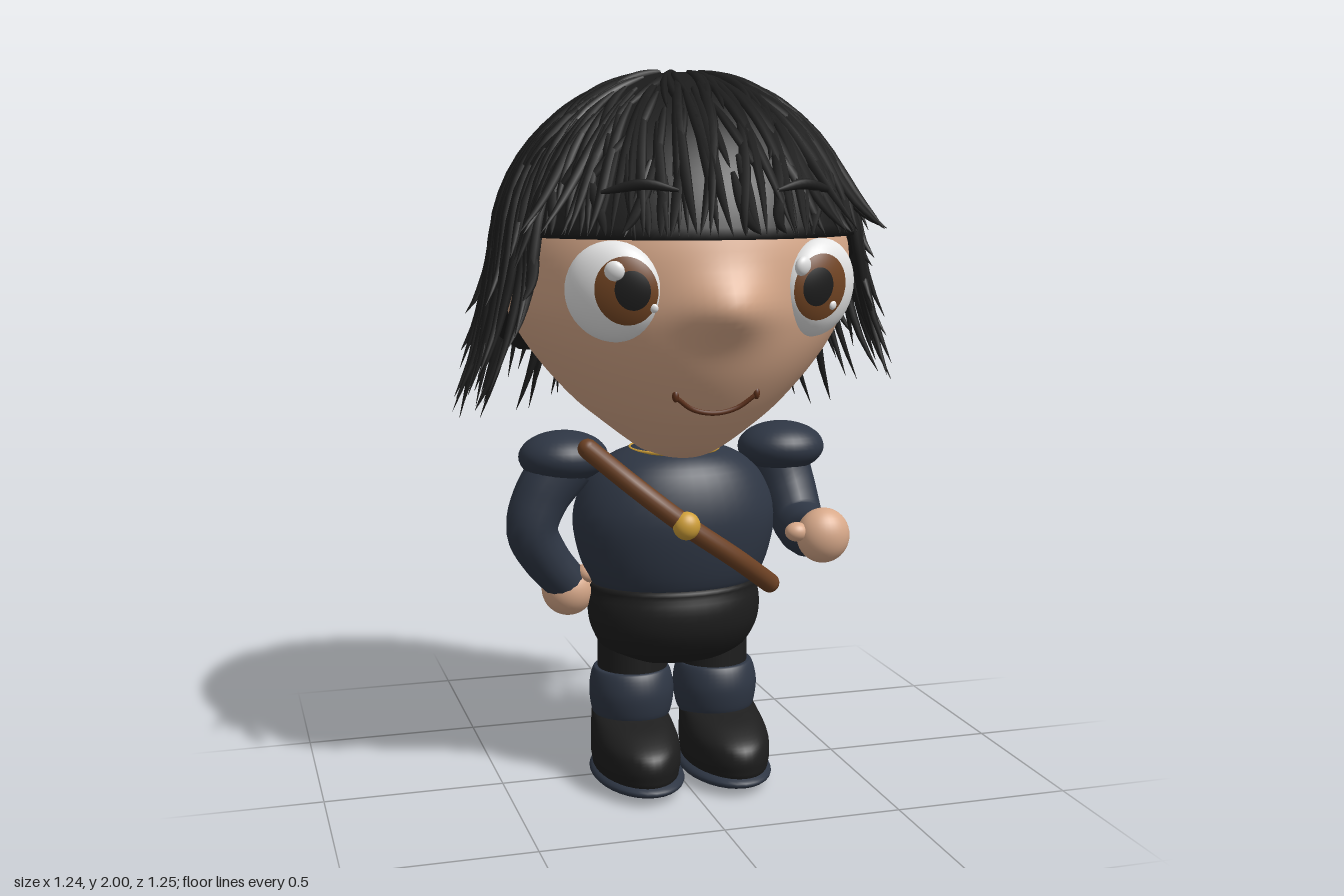
import * as THREE from 'three';
import { mergeGeometries } from 'three/addons/utils/BufferGeometryUtils.js';

const mat = (name, color, extra = {}) => Object.assign(new THREE.MeshStandardMaterial({ color, ...extra }), { name });
const V = (x, y, z) => new THREE.Vector3(x, y, z);

// Closed-around grid surface: rows run bottom to top, columns run from +z towards +x
function grid(rows, cols, point) {
  const pos = [], idx = [];
  for (let i = 0; i <= rows; i++)
    for (let j = 0; j < cols; j++) pos.push(...point(i / rows, (j / cols) * Math.PI * 2).toArray());
  for (let i = 0; i < rows; i++)
    for (let j = 0; j < cols; j++) {
      const a = i * cols + j, b = i * cols + ((j + 1) % cols);
      idx.push(a, b, b + cols, a, b + cols, a + cols);
    }
  const g = new THREE.BufferGeometry();
  g.setAttribute('position', new THREE.Float32BufferAttribute(pos, 3));
  g.setIndex(idx);
  g.computeVertexNormals();
  return g;
}

// Smooth loft through oval sections [y, half width, front z, back z]
function loft(sections, rows = 24, cols = 40, adjust = p => p) {
  const spline = k => new THREE.SplineCurve(sections.map(s => new THREE.Vector2(s[0], s[k])));
  const [w, f, b] = [spline(1), spline(2), spline(3)];
  return grid(rows, cols, (u, a) => {
    const p = w.getPoint(u), zf = f.getPoint(u).y, zb = b.getPoint(u).y;
    return adjust(V(p.y * Math.sin(a), p.x, (zf + zb) / 2 + ((zf - zb) / 2) * Math.cos(a)));
  });
}

// Tube whose radius varies along its length
function tube(points, radius, n = 20, sides = 16) {
  const curve = new THREE.CatmullRomCurve3(points);
  const g = new THREE.TubeGeometry(curve, n, 1, sides);
  const p = g.attributes.position, v = V(0, 0, 0);
  for (let i = 0; i <= n; i++) {
    const c = curve.getPointAt(i / n), r = radius(i / n);
    for (let j = 0; j <= sides; j++) {
      const k = i * (sides + 1) + j;
      v.fromBufferAttribute(p, k).sub(c).multiplyScalar(r).add(c);
      p.setXYZ(k, v.x, v.y, v.z);
    }
  }
  return g;
}

function seeded(seed) {
  return () => (seed = (seed * 16807) % 2147483647) / 2147483647;
}

// Hair surface: s = 0 at the crown, 1 at the dome's widest ring, more below it
const frontBulge = a => 1 + 0.075 * Math.max(0, Math.cos(a));
function hairPoint(s, a, out) {
  const t = Math.min(s, 1), q = t * Math.PI / 2, low = Math.max(s - 1, 0);
  const r = ((0.495 + out) * Math.sin(q) + 0.1 * low) * (1 + (frontBulge(a) - 1) * t);
  return V(r * Math.sin(a) + 0.03 * (1 - t), 1.5 + (0.49 + out) * Math.cos(q) - 0.5 * low, r * Math.cos(a) + 0.01 - 0.035 * (1 - t));
}
const sAt = y => (y > 1.5 ? Math.acos((y - 1.5) / 0.49) / (Math.PI / 2) : 1 + (1.5 - y) / 0.5);

// Lower edge of the solid hair at an angle from the front
function hairEdge(a) {
  const d = Math.abs(THREE.MathUtils.radToDeg(Math.atan2(Math.sin(a), Math.cos(a))));
  const t = [[0, 1.553], [60, 1.553], [76, 1.47], [90, 1.36], [115, 1.27], [135, 1.2], [181, 1.19]];
  const i = t.findIndex(e => e[0] > d);
  return THREE.MathUtils.mapLinear(d, t[i - 1][0], t[i][0], t[i - 1][1], t[i][1]);
}

function strandGeometry() {
  const rand = seeded(4711), parts = [];
  const strand = (a, s0, s1, drift, flare, r) => {
    const pts = [];
    for (let i = 0; i <= 6; i++) {
      const t = i / 6;
      pts.push(hairPoint(s0 + (s1 - s0) * t, a + drift * (t - 1), 0.003 + flare * t ** 5));
    }
    parts.push(tube(pts, t => r * Math.sin(Math.PI * (0.1 + 0.9 * t)) ** 0.75 + 0.0005, 12, 6));
  };
  // Fringe, cut straight, with a few locks flicked outward
  for (let i = 0; i < 60; i++)
    strand(-1.02 + 2.04 * (i + rand()) / 60, 0.15 + 0.6 * rand(), sAt(1.56), (rand() - 0.5) * 0.4, 0.01 + 0.1 * rand() ** 2.5, 0.015);
  // Long locks round the sides and back
  for (let i = 0; i < 140; i++) {
    const a = 0.97 + (2 * Math.PI - 1.94) * (i + rand()) / 140;
    const back = -Math.cos(a);
    const tip = back > 0.3 ? 0.98 + 0.33 * rand() : back > -0.2 ? 1.1 + 0.33 * rand() : 1.15 + 0.38 * rand();
    strand(a, 0.2 + 0.75 * rand(), sAt(tip), (rand() - 0.5) * 0.4, 0.005 + 0.045 * rand(), 0.016);
  }
  // Short ridges over the crown
  for (let i = 0; i < 100; i++) {
    const s = 0.06 + 0.5 * rand();
    strand(2 * Math.PI * (i + rand()) / 100, s, s + 0.2 + 0.2 * rand(), (rand() - 0.5) * 0.6, 0, 0.013);
  }
  return mergeGeometries(parts);
}

export function createModel() {
  const skin = mat('skin', 0xd8a98a), navy = mat('navy cloth', 0x2e3644);
  const black = mat('black', 0x1d1d1d), hair = mat('hair', 0x1c1c1c, { side: THREE.DoubleSide });
  const white = mat('eye white', 0xe6e6e6), iris = mat('iris brown', 0x744624);
  const leather = mat('leather', 0x6b4023), gold = mat('gold', 0xcf9f38), lip = mat('mouth brown', 0x5a2e18);

  const model = new THREE.Group();
  const add = (name, geometry, material, x = 0, y = 0, z = 0, parent = model) => {
    const m = new THREE.Mesh(geometry, material);
    m.name = name;
    m.position.set(x, y, z);
    parent.add(m);
    return m;
  };
  const ball = (name, material, x, y, z, rx, ry, rz, parent) => {
    const m = add(name, new THREE.SphereGeometry(1, 32, 20), material, x, y, z, parent);
    m.scale.set(rx, ry, rz);
    return m;
  };

  // Head with the nose pushed out of the face
  add('head', loft([
    [0.93, 0.002, 0.06, 0.056], [0.94, 0.075, 0.15, -0.08], [0.975, 0.13, 0.245, -0.18], [1.035, 0.208, 0.33, -0.265],
    [1.1, 0.285, 0.395, -0.335], [1.2, 0.375, 0.462, -0.4], [1.3, 0.443, 0.5, -0.44], [1.4, 0.478, 0.515, -0.46],
    [1.55, 0.475, 0.505, -0.46], [1.7, 0.41, 0.43, -0.41], [1.85, 0.26, 0.27, -0.26], [1.92, 0.002, 0.01, 0.006],
  ], 66, 120, p => {
    if (p.z > 0) p.z += 0.06 * Math.exp(-((p.x / 0.11) ** 2) - ((p.y - 1.38) / 0.08) ** 2);
    return p;
  }), skin);

  // Eyes: flattened balls following the face, iris and pupil caps turned inward, two glints
  for (const side of [-1, 1]) {
    const eye = new THREE.Group();
    eye.name = side > 0 ? 'leftEye' : 'rightEye';
    eye.position.set(side * 0.272, 1.422, 0.412);
    eye.rotation.set(0.15, side * 0.5, 0, 'YXZ');
    model.add(eye);
    ball('eyeball', white, 0, 0, 0, 0.128, 0.13, 0.07, eye);
    const cap = (name, material, size, angle, turn) => {
      const g = new THREE.SphereGeometry(size, 32, 10, 0, Math.PI * 2, 0, angle);
      g.rotateX(Math.PI / 2 - 0.13).rotateY(-side * turn).scale(0.128, 0.13, 0.07);
      add(name, g, material, 0, 0, 0, eye);
    };
    cap('iris', iris, 1.04, 0.7, 0.46);
    cap('pupil', black, 1.07, 0.37, 0.53);
    const glint = (name, dx, y, r) => {
      const x = -side * 0.06 + dx;
      ball(name, white, x, y, 0.073 * Math.sqrt(1 - (x * x + y * y) / 0.0175), r, r, r * 0.6, eye);
    };
    glint('largeGlint', -0.04, 0.066, 0.026);
    glint('smallGlint', 0.05, -0.032, 0.012);
  }

  // Smile
  const smile = [[-0.11, 1.148, 0.412], [-0.06, 1.112, 0.402], [0, 1.1, 0.401], [0.06, 1.112, 0.402], [0.11, 1.148, 0.412]];
  add('mouth', tube(smile.map(p => V(...p)), () => 0.0065, 24, 8), lip);
  for (const x of [-0.11, 0.11]) ball('mouthCorner', lip, x, 1.15, 0.412, 0.009, 0.016, 0.009);

  // Hair cap, turned inward at its lower edge, and loose strands
  add('hairCap', grid(25, 96, (u, a) => {
    const edge = sAt(hairEdge(a)), k = Math.max(0, (u - 0.04) / 0.96);
    const p = hairPoint(Math.max(edge * (1 - k), 0.0005), a, 0);
    const f = u < 0.02 ? 0.72 : Math.min(1, 0.51 * frontBulge(a) / Math.hypot(p.x, p.z));
    return V(p.x * f, p.y, p.z * f);
  }), hair);
  add('hairStrands', strandGeometry(), hair);
  for (const s of [-1, 1])
    add('brow', tube([V(s * 0.13, 1.675, 0.507), V(s * 0.21, 1.69, 0.482), V(s * 0.31, 1.67, 0.435)],
      t => 0.014 * Math.sin(Math.PI * (0.1 + 0.8 * t)), 12, 8), hair);

  // Torso, collar and trousers
  add('torso', loft([[0.55, 0.2, 0.17, -0.12], [0.575, 0.24, 0.2, -0.145], [0.66, 0.277, 0.225, -0.172], [0.77, 0.292, 0.235, -0.182],
    [0.87, 0.255, 0.212, -0.165], [0.93, 0.19, 0.17, -0.12], [0.96, 0.1, 0.1, -0.06], [0.963, 0.002, 0.022, 0.018]]), navy);
  add('collar', new THREE.TorusGeometry(0.125, 0.005, 8, 40).rotateX(Math.PI / 2), gold, 0, 0.951, 0.025);
  add('trousers', loft([[0.335, 0.002, 0.022, 0.018], [0.345, 0.14, 0.11, -0.07], [0.38, 0.205, 0.165, -0.12], [0.44, 0.24, 0.205, -0.158],
    [0.5, 0.25, 0.215, -0.168], [0.55, 0.243, 0.205, -0.16], [0.578, 0.225, 0.185, -0.14], [0.58, 0.002, 0.022, 0.018]]), black);

  // Strap across the chest with a buckle
  const strap = [[-0.275, 0.975, 0.13], [-0.16, 0.875, 0.215], [-0.035, 0.775, 0.245], [0.12, 0.665, 0.22], [0.245, 0.57, 0.15]];
  add('strap', tube(strap.map(p => V(...p)), () => 0.028, 30), leather);
  for (const i of [0, 4]) ball('strapEnd', leather, ...strap[i], 0.028, 0.028, 0.028);
  ball('buckle', gold, -0.033, 0.773, 0.258, 0.038, 0.039, 0.032);

  // Shoulders, legs and boots
  for (const s of [-1, 1]) {
    ball('shoulderPuff', navy, s * 0.32, 0.94, 0.025, 0.125, 0.072, 0.115);
    add('thigh', new THREE.CylinderGeometry(0.1, 0.1, 0.18, 32), black, s * 0.12, 0.38, 0.012);
    add('kneeBand', loft([[0.17, 0.1, 0.115, -0.085], [0.2, 0.114, 0.132, -0.1], [0.26, 0.121, 0.14, -0.106],
      [0.315, 0.11, 0.125, -0.098], [0.322, 0.09, 0.1, -0.08], [0.323, 0.002, 0.014, 0.01]]), navy, s * 0.125);
    add('boot', loft([[0.034, 0.002, 0.09, 0.08], [0.036, 0.1, 0.26, -0.1], [0.07, 0.118, 0.287, -0.118], [0.11, 0.12, 0.287, -0.122],
      [0.14, 0.118, 0.265, -0.12], [0.17, 0.112, 0.2, -0.115], [0.192, 0.105, 0.125, -0.105], [0.2, 0.09, 0.1, -0.085],
      [0.201, 0.002, 0.014, 0.01]], 32), black, s * 0.132);
    ball('sole', navy, s * 0.129, 0.034, 0.085, 0.128, 0.034, 0.215);
  }

  // Right arm with its hand on the hip
  add('rightArm', tube([V(-0.32, 0.92, 0.03), V(-0.385, 0.83, 0.03), V(-0.412, 0.74, 0.03), V(-0.37, 0.65, 0.01), V(-0.305, 0.57, -0.015)],
    t => 0.085 - 0.025 * t), navy);
  ball('rightHand', skin, -0.298, 0.55, -0.025, 0.076, 0.076, 0.072);
  ball('rightThumb', skin, -0.25, 0.6, 0.01, 0.03, 0.028, 0.03);

  // Left arm reaching forward with a closed fist
  add('leftArm', tube([V(0.31, 0.92, 0.01), V(0.335, 0.82, 0.045), V(0.345, 0.735, 0.105), V(0.335, 0.72, 0.2), V(0.32, 0.745, 0.34)],
    t => 0.088 - 0.03 * t), navy);
  ball('leftHand', skin, 0.318, 0.75, 0.37, 0.073, 0.075, 0.062);
  ball('leftThumb', skin, 0.24, 0.765, 0.375, 0.032, 0.026, 0.028);
  return model;
}
